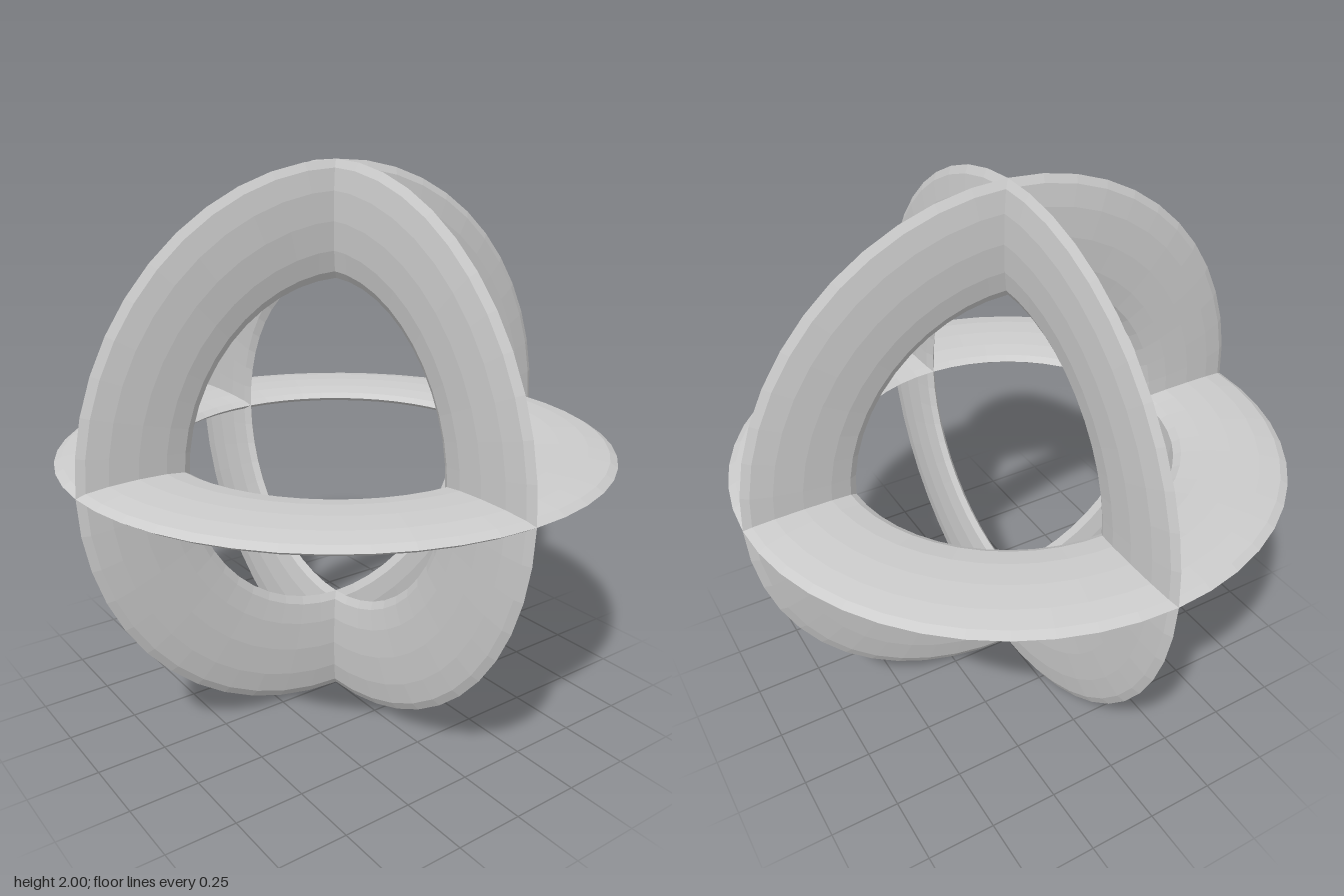
import * as THREE from 'three';

const RING_RADIUS = 0.8;   // centre line of each band
const BAND_HALF = 0.2;     // half the radial width of a band
const THICK_HALF = 0.033;  // half the thickness of a band

export function createModel() {
  const group = new THREE.Group();
  group.name = 'interlockedRings';
  const material = new THREE.MeshStandardMaterial({ color: 0xcccccc, flatShading: true });

  // One torus squashed along its axis into a lens-section band
  const band = new THREE.TorusGeometry(RING_RADIUS, BAND_HALF, 12, 48);
  band.scale(1, 1, THICK_HALF / BAND_HALF);

  // Three identical rings, one in each principal plane
  const rings = [
    ['frontRing', 0, 0],
    ['sideRing', 0, Math.PI / 2],
    ['horizontalRing', Math.PI / 2, 0],
  ];
  for (const [name, rx, ry] of rings) {
    const ring = new THREE.Mesh(band, material);
    ring.name = name;
    ring.rotation.set(rx, ry, 0);
    ring.position.y = 1;
    group.add(ring);
  }
  return group;
}
